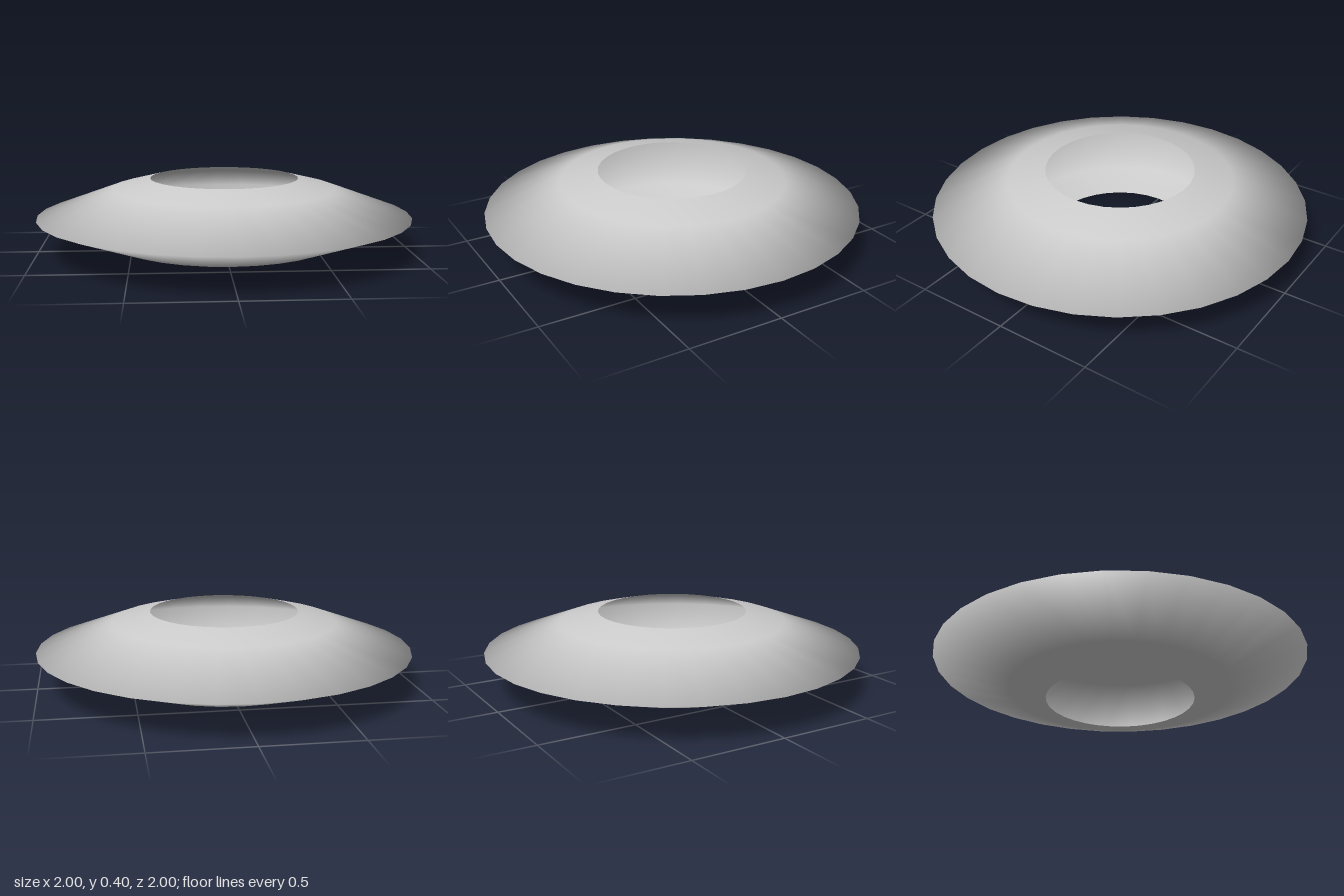
import * as THREE from 'three';

export function createModel() {
  const group = new THREE.Group();

  // Half profile of the hollow ring, from the lower opening out to the rim and back to the upper opening
  const profile = [
    [0.396, 0],
    [0.6, 0.052],
    [1, 0.198],
    [0.6, 0.344],
    [0.396, 0.396],
  ].map(([r, y]) => new THREE.Vector2(r, y));

  // Open shell: the inside shows through the two round openings
  const material = new THREE.MeshStandardMaterial({ color: 0xcccccc, side: THREE.DoubleSide });
  const shell = new THREE.Mesh(new THREE.LatheGeometry(profile, 32), material);
  shell.name = 'ringShell';
  group.add(shell);

  return group;
}
